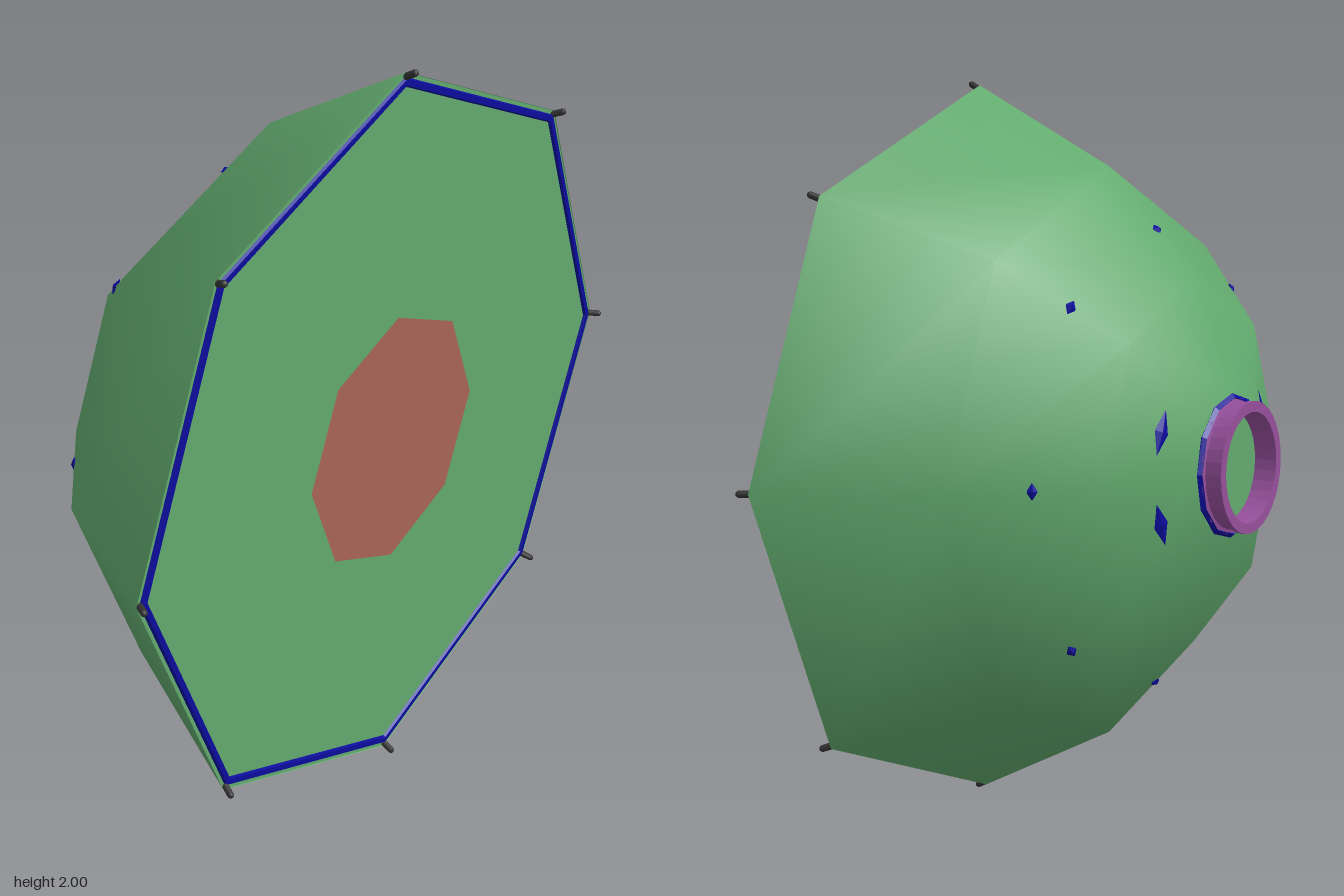
import * as THREE from 'three';

const mat = (color, flat = false) =>
  new THREE.MeshStandardMaterial({ color, flatShading: flat, side: THREE.DoubleSide });

// Lathe about the z axis; points are [radius, z], listed from front to back
function latheZ(points, sides) {
  const profile = points.map(([r, z]) => new THREE.Vector2(r, -z));
  return new THREE.LatheGeometry(profile, sides).rotateX(-Math.PI / 2);
}

export function createModel() {
  const model = new THREE.Group();
  const green = mat(0x62aa6e);
  const red = mat(0xa86458);
  const blue = mat(0x0c0c9c, true);
  const dark = mat(0x333333);
  const purple = mat(0x96509c);

  const add = (name, geometry, material, parent = model) => {
    const mesh = new THREE.Mesh(geometry, material);
    mesh.name = name;
    parent.add(mesh);
    return mesh;
  };

  // Everything is arranged around the z axis at y = 1
  const body = new THREE.Group();
  body.name = 'body';
  body.position.y = 1;
  model.add(body);

  // Eight-sided dome shell, closed at the back
  const shell = [[0.988, 0.4], [0.77, -0.01], [0.48, -0.272], [0.19, -0.378]];
  add('domeShell', latheZ(shell, 8), green, body);
  add('domeBackCap', new THREE.CircleGeometry(0.19, 8).rotateY(Math.PI), green, body)
    .position.z = -0.378;

  // Flat front panel with its centre patch
  add('frontPanel', new THREE.CircleGeometry(0.987, 8), green, body).position.z = 0.398;
  add('centrePatch', new THREE.CircleGeometry(0.35, 8), red, body).position.z = 0.402;

  // Rim frame
  add('rimFrame', new THREE.TorusGeometry(0.964, 0.016, 6, 8), blue, body).position.z = 0.391;

  // Rear collar and ring with a lip at each end
  add('rearCollar', new THREE.TorusGeometry(0.18, 0.01, 4, 12), blue, body).position.z = -0.379;
  const ring = [
    [0.14, -0.375], [0.178, -0.375], [0.178, -0.386], [0.165, -0.39],
    [0.165, -0.424], [0.173, -0.427], [0.173, -0.438], [0.145, -0.438], [0.14, -0.375],
  ];
  const ringMaterial = purple.clone();
  ringMaterial.flatShading = true;
  add('rearRing', latheZ(ring, 32), ringMaterial, body);

  // Places a mesh on the dome at an angle, radius and depth, tilted to the slope
  function place(mesh, angle, radius, z, tilt) {
    const arm = new THREE.Group();
    arm.name = mesh.name + 'Arm';
    arm.rotation.z = angle;
    mesh.position.set(radius, 0, z);
    mesh.rotation.y = tilt;
    arm.add(mesh);
    body.add(arm);
  }

  const pegGeometry = new THREE.CapsuleGeometry(0.009, 0.028, 3, 8).rotateX(Math.PI / 2);
  const studGeometry = new THREE.OctahedronGeometry(1).scale(0.015, 0.022, 0.009);
  for (let i = 0; i < 8; i++) {
    const angle = i * Math.PI / 4;
    // Corner peg leaning outwards and joint stud on the ridge
    place(add('cornerPeg', pegGeometry, dark), angle, 0.984, 0.413, 0.5);
    place(add('ridgeStud', studGeometry, blue), angle, 0.608, -0.155, -0.73);
  }

  // Four diamond patches beside the ring
  const diamondGeometry = new THREE.OctahedronGeometry(1).scale(0.022, 0.06, 0.006);
  for (const step of [1, 7, 9, 15]) {
    place(add('diamondPatch', diamondGeometry, blue), step * Math.PI / 8, 0.305, -0.327, -0.38);
  }

  return model;
}
